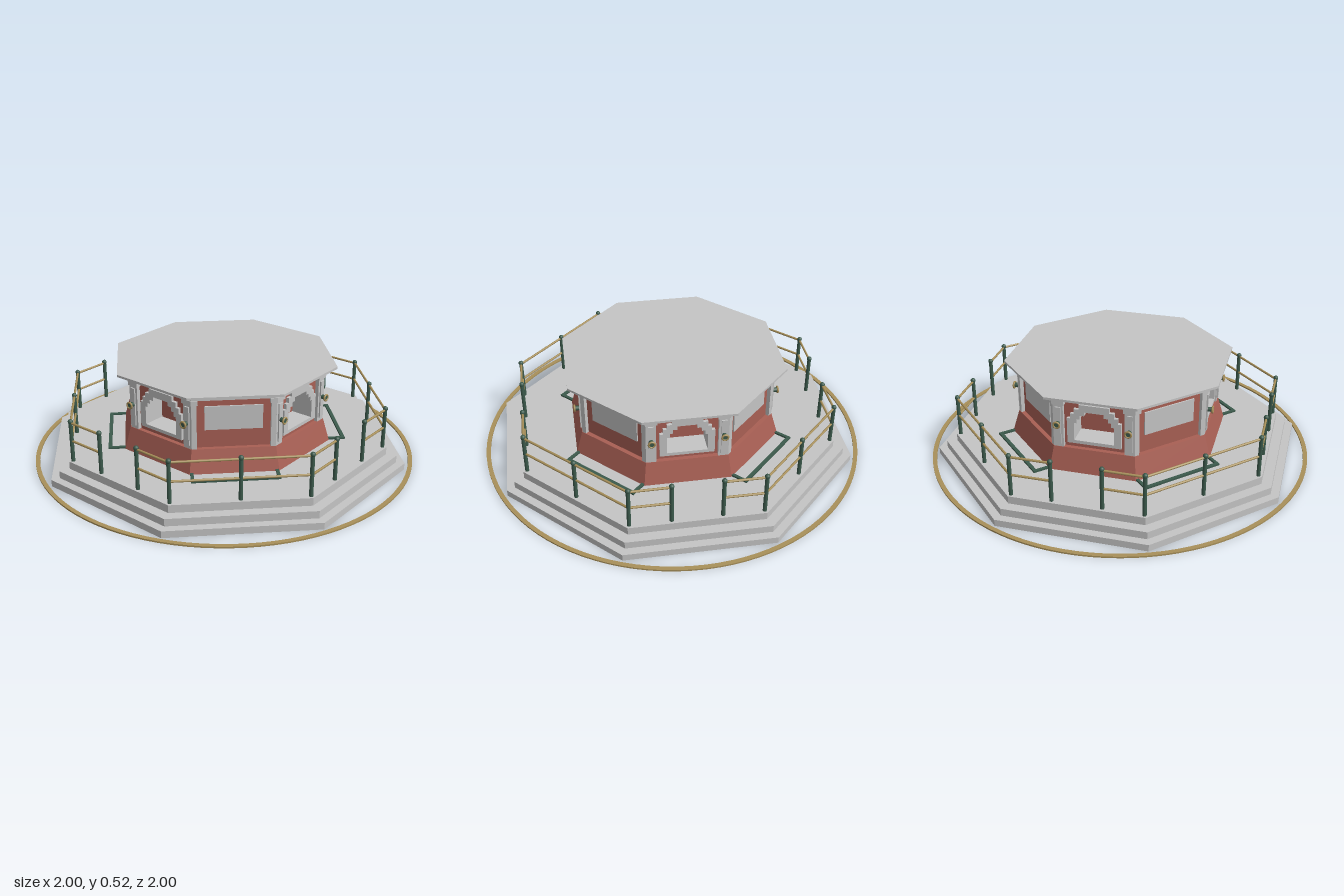
import * as THREE from 'three';

const mat = (name, color, side = THREE.FrontSide) => {
  const m = new THREE.MeshStandardMaterial({ color, side });
  m.name = name;
  return m;
};

export function createModel() {
  const model = new THREE.Group();
  model.name = 'octagonalPavilion';
  const stone = mat('paleStone', 0xc4c4c4);
  const brick = mat('redBrick', 0xa85f54);
  const brass = mat('brass', 0xa8905a);
  const green = mat('darkGreen', 0x3c5a4c);

  const add = (parent, name, geo, material, x = 0, y = 0, z = 0) => {
    const mesh = new THREE.Mesh(geo, material);
    mesh.name = name;
    mesh.position.set(x, y, z);
    parent.add(mesh);
    return mesh;
  };
  // box given by its limits
  const block = (parent, name, material, x0, x1, y0, y1, z0, z1) =>
    add(parent, name, new THREE.BoxGeometry(x1 - x0, y1 - y0, z1 - z0), material,
      (x0 + x1) / 2, (y0 + y1) / 2, (z0 + z1) / 2);
  // eight-sided prism or frustum; sizes are distances from centre to flat side
  const octagon = (name, material, bottom, top, y0, y1) => {
    const c = Math.cos(Math.PI / 8);
    const geo = new THREE.CylinderGeometry(top / c, bottom / c, y1 - y0, 8, 1, false, Math.PI / 8).toNonIndexed();
    geo.computeVertexNormals();
    return add(model, name, geo, material, 0, (y0 + y1) / 2, 0);
  };
  // straight round bar between two points
  const bar = (parent, name, material, a, b, r) => {
    const d = b.clone().sub(a);
    const mesh = add(parent, name, new THREE.CylinderGeometry(r, r, d.length(), 8), material);
    mesh.position.copy(a).add(b).multiplyScalar(0.5);
    mesh.quaternion.setFromUnitVectors(new THREE.Vector3(0, 1, 0), d.normalize());
  };
  // stepped arch outline: list of [half width, top height]
  const steppedArch = (bottom, steps) => {
    const right = [[steps[0][0], bottom]];
    steps.forEach(([w, top], i) => {
      right.push([w, top]);
      if (i < steps.length - 1) right.push([steps[i + 1][0], top]);
    });
    const left = right.map(([x, y]) => [-x, y]).reverse();
    return [...right, ...left].map(([x, y]) => new THREE.Vector2(x, y));
  };

  // ground ring
  const ring = [[0.978, 0], [1, 0], [1, 0.008], [0.978, 0.008], [0.978, 0]];
  const ringGeo = new THREE.LatheGeometry(ring.map(p => new THREE.Vector2(...p)), 96).toNonIndexed();
  ringGeo.computeVertexNormals();
  add(model, 'groundRing', ringGeo, brass);

  // stepped platform
  octagon('lowerStep', stone, 0.89, 0.89, 0.002, 0.037);
  octagon('middleStep', stone, 0.85, 0.85, 0.037, 0.075);
  octagon('upperStep', stone, 0.8, 0.8, 0.075, 0.115);

  // flared base, inner core and roof
  octagon('flaredBase', brick, 0.525, 0.492, 0.115, 0.232);
  octagon('innerCore', brick, 0.37, 0.37, 0.232, 0.49);
  octagon('frieze', stone, 0.492, 0.492, 0.484, 0.497);
  octagon('cornice', stone, 0.5, 0.53, 0.497, 0.513);
  octagon('roofSlab', stone, 0.548, 0.548, 0.513, 0.525);

  const inner = [[0.1, 0.37], [0.086, 0.393], [0.07, 0.414], [0.048, 0.434]];
  const outer = [[0.135, 0.393], [0.118, 0.42], [0.1, 0.446], [0.075, 0.472]];
  const W = 0.195;

  for (let k = 0; k < 8; k++) {
    const side = new THREE.Group();
    const arched = k % 2 === 1;
    side.name = arched ? 'nicheWall' : 'panelWall';
    side.rotation.y = k * Math.PI / 4;
    model.add(side);

    if (arched) {
      // brick wall with a stone-lined niche
      const wall = new THREE.Shape([[-W, 0.23], [W, 0.23], [W, 0.49], [-W, 0.49]].map(p => new THREE.Vector2(...p)));
      wall.holes.push(new THREE.Path(steppedArch(0.275, inner)));
      add(side, 'wall', new THREE.ExtrudeGeometry(wall, { depth: 0.1, bevelEnabled: false }), [brick, stone], 0, 0, 0.37);
      // raised stepped surround
      const frame = new THREE.Shape(steppedArch(0.258, outer));
      frame.holes.push(new THREE.Path(steppedArch(0.275, inner)));
      add(side, 'archSurround', new THREE.ExtrudeGeometry(frame, { depth: 0.016, bevelEnabled: false }), stone, 0, 0, 0.47);
    } else {
      block(side, 'wall', brick, -W, W, 0.23, 0.49, 0.37, 0.47);
      block(side, 'wallPanel', stone, -0.14, 0.14, 0.325, 0.447, 0.47, 0.477);
    }

    // corner pilasters, with medallions beside the niches
    const edge = arched ? 0.152 : 0.178;
    for (const s of [-1, 1]) {
      const span = (a, b) => [Math.min(s * a, s * b), Math.max(s * a, s * b)];
      block(side, 'pilaster', stone, ...span(edge, 0.203), 0.232, 0.49, 0.45, 0.49);
      block(side, 'pilasterCap', stone, ...span(edge - 0.006, 0.206), 0.462, 0.486, 0.45, 0.497);
      if (arched) {
        block(side, 'pilasterStrip', stone, ...span(0.164, 0.191), 0.25, 0.45, 0.48, 0.497);
        bar(side, 'medallionStem', green, new THREE.Vector3(s * 0.177, 0.365, 0.49), new THREE.Vector3(s * 0.177, 0.365, 0.522), 0.012);
        add(side, 'medallionRing', new THREE.TorusGeometry(0.015, 0.005, 8, 20), brass, s * 0.177, 0.365, 0.52);
      }
    }
  }

  // railings and floor frames on four sides
  const plan = [[-0.465, 0.638], [-0.324, 0.78], [0, 0.78], [0.324, 0.78], [0.465, 0.638]];
  for (let k = 0; k < 4; k++) {
    const quarter = new THREE.Group();
    quarter.name = 'railing';
    quarter.rotation.y = k * Math.PI / 2;
    model.add(quarter);
    plan.forEach(([x, z], i) => {
      add(quarter, 'railPost', new THREE.CylinderGeometry(0.01, 0.01, 0.215, 10), green, x, 0.2225, z);
      add(quarter, 'postBall', new THREE.SphereGeometry(0.013, 12, 8), green, x, 0.328, z);
      const next = plan[i + 1];
      if (next) for (const y of [0.225, 0.322])
        bar(quarter, 'rail', brass, new THREE.Vector3(x, y, z), new THREE.Vector3(next[0], y, next[1]), 0.006);
    });
    block(quarter, 'floorFrameFront', green, -0.215, 0.215, 0.115, 0.124, 0.592, 0.61);
    for (const s of [-1, 1])
      block(quarter, 'floorFrameSide', green, s * 0.207 - 0.008, s * 0.207 + 0.008, 0.115, 0.124, 0.52, 0.592);
  }
  return model;
}
